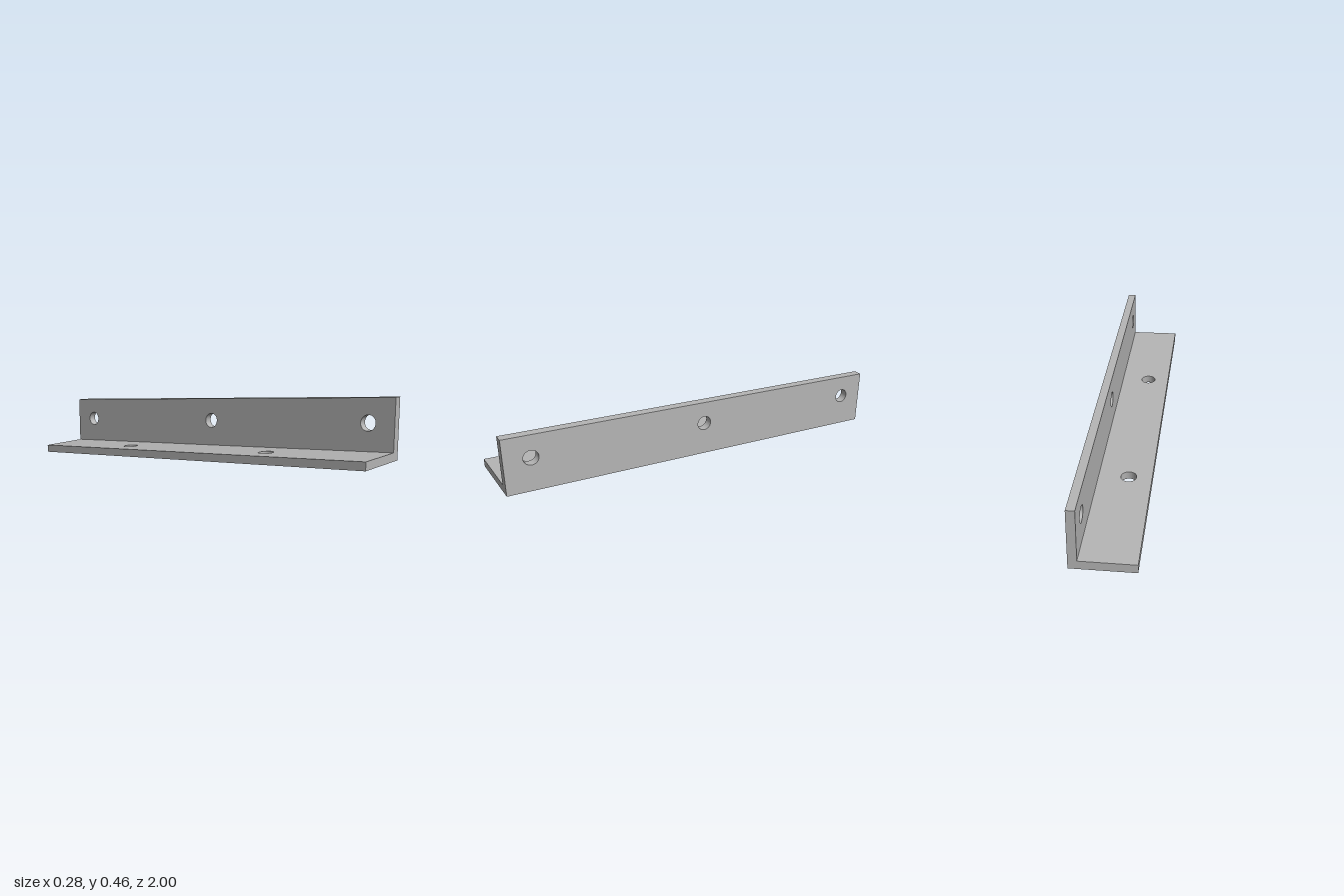
import * as THREE from 'three';

const HALF_W = 0.142, T = 0.039, HEIGHT = 0.276, R = 0.036;
const RISE = 0.0935, ROLL = -0.01, MID_Y = 0.095;

// Rectangular plate with round through holes
function plate(x0, x1, y0, y1, holes, depth) {
  const shape = new THREE.Shape([[x0, y0], [x1, y0], [x1, y1], [x0, y1]].map(p => new THREE.Vector2(...p)));
  for (const [x, y] of holes) {
    shape.holes.push(new THREE.Path().absarc(x, y, R, 0, Math.PI * 2, true));
  }
  return new THREE.ExtrudeGeometry(shape, { depth, bevelEnabled: false, curveSegments: 32 });
}

// Slope the bar along its length while its ends stay upright;
// tiltHoles leans the hole walls square to the sloping plate
function slope(geometry, tiltHoles) {
  const p = geometry.attributes.position;
  for (let i = 0; i < p.count; i++) {
    const x = p.getX(i), y = p.getY(i);
    let z = p.getZ(i);
    if (tiltHoles && Math.abs(z) < 0.99) z -= RISE * (y - T / 2);
    p.setXYZ(i, x, y + MID_Y + RISE * z + ROLL * x, z);
  }
  geometry.computeVertexNormals();
  return geometry;
}

export function createModel() {
  const group = new THREE.Group();
  group.name = 'angleBracket';
  const steel = new THREE.MeshStandardMaterial({ color: 0xb4b4b4 });
  steel.name = 'grey steel';

  const add = (name, geometry) => {
    const mesh = new THREE.Mesh(geometry, steel);
    mesh.name = name;
    group.add(mesh);
  };

  // Lower flange with two holes
  const flange = plate(-HALF_W, HALF_W, -1, 1, [[-0.035, -0.438], [-0.035, 0.438]], T);
  flange.rotateX(-Math.PI / 2);
  add('lowerFlange', slope(flange, true));

  // Upright flange with three holes
  const upright = plate(-1, 1, T, HEIGHT + 0.001, [-0.875, 0, 0.875].map(z => [z, 0.166]), T);
  upright.rotateY(Math.PI / 2).translate(HALF_W - T, 0, 0);
  add('uprightFlange', slope(upright, false));

  return group;
}
